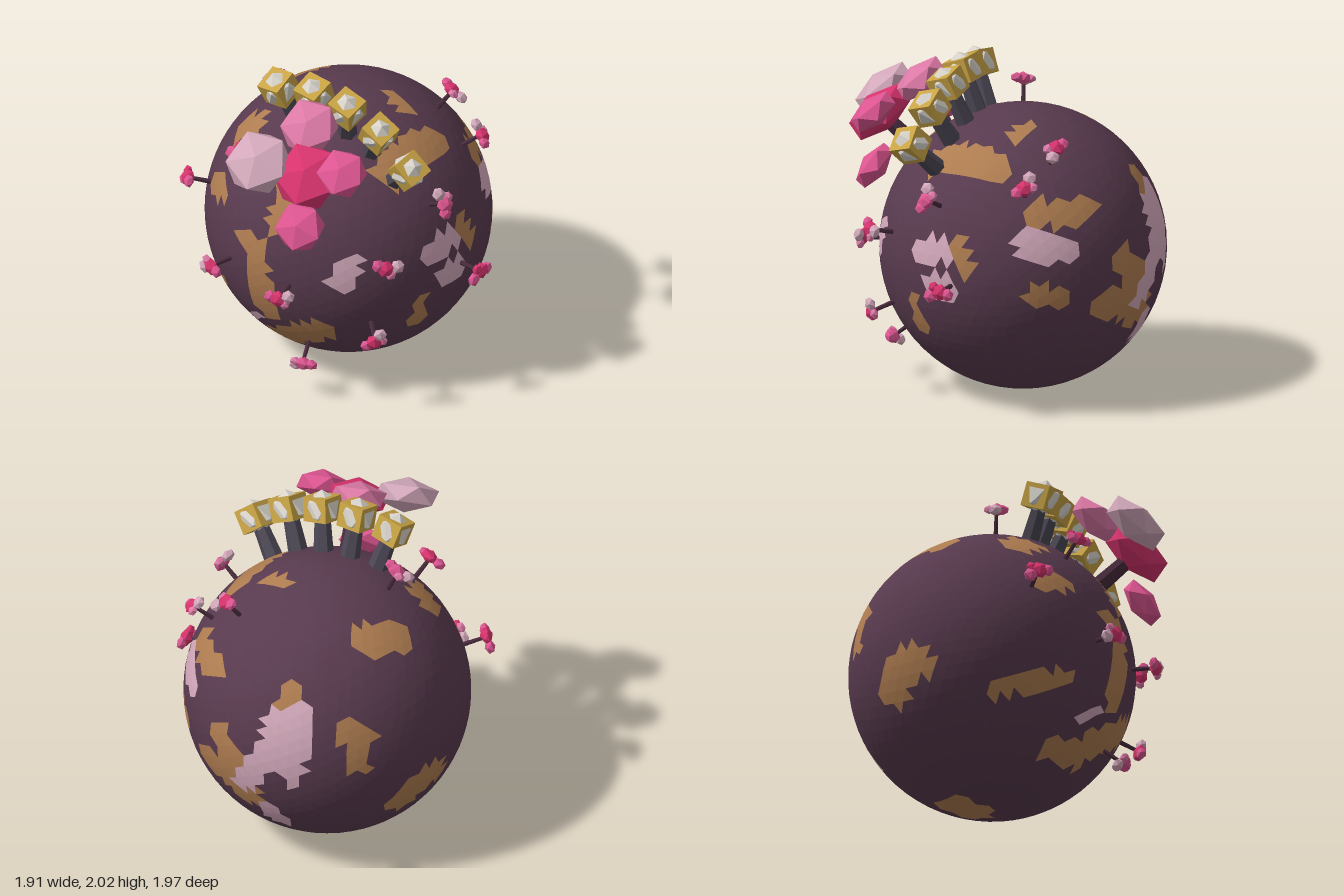
import * as THREE from 'three';

const mat = (name, color) => Object.assign(new THREE.MeshStandardMaterial({ color }), { name });
const M = {
  ground: mat('plum ground', 0x583a4e), ochre: mat('ochre', 0xae7c50), pale: mat('pale pink', 0xd2a8ba),
  gold: mat('gold', 0xc8a345), gem: mat('ivory gem', 0xd8d4cc), post: mat('slate post', 0x4a4653),
  stem: mat('dark stem', 0x472a3b), crimson: mat('crimson', 0xd6336c), rose: mat('rose', 0xdc5590),
  orchid: mat('orchid', 0xdc79a6),
};
const R = 0.865, CENTRE = new THREE.Vector3(-0.105, 0.872, -0.135);
const UP = new THREE.Vector3(0, 1, 0);

function add(parent, geometry, material, name) {
  const m = new THREE.Mesh(geometry, material);
  m.name = name;
  parent.add(m);
  return m;
}

// East, north and outward unit vectors of a place on the globe, in degrees
function compass(azimuth, elevation) {
  const [a, e] = [azimuth, elevation].map(THREE.MathUtils.degToRad);
  const out = new THREE.Vector3(Math.sin(a) * Math.cos(e), Math.sin(e), Math.cos(a) * Math.cos(e));
  const east = new THREE.Vector3(Math.cos(a), 0, -Math.sin(a));
  return { out, east, north: out.clone().cross(east) };
}

// Brush strokes from (u1, v1) to (u2, v2), in percent of the radius, laid on one side of the globe
const patches = [];
function paint(colour, azimuth, elevation, width, ...strokes) {
  const { out, east, north } = compass(azimuth, elevation);
  const near = new THREE.Vector3();
  for (const [u1, v1, u2, v2] of strokes) {
    const line = new THREE.Line3(new THREE.Vector3(u1, v1, 0), new THREE.Vector3(u2, v2, 0));
    const covers = (n) => {
      const p = new THREE.Vector3(n.dot(east), n.dot(north), 0).multiplyScalar(100);
      return n.dot(out) > 0 && line.closestPointToPoint(p, true, near).distanceTo(p) < width;
    };
    patches.push({ colour, covers });
  }
}

// front
paint('pale', 0, 0, 8, [63, 18, 60, 6]);
paint('pale', 0, 0, 5, [-18, -55, -7, -48]);
paint('ochre', 0, 0, 7, [-54, 68, -41, 75], [-60, 33, -45, 37], [-15, 20, 2, 18], [-72, -47, -46, -38], [-22, -76, 6, -74]);
paint('ochre', 0, 0, 10, [15, 70, 13, 42], [3, 2, 5, -36], [4, -66, 40, -43]);
// left side
paint('pale', 90, 0, 9, [-25, 16, -5, 20], [-13, -6, -1, -6], [54, 30, 71, 24]);
paint('ochre', 90, 0, 8, [7, 25, 13, 13], [54, 50, 75, 47], [61, -7, 69, -9]);
paint('ochre', 90, 0, 5, [-30, -18, -29, -42]);
// top
paint('pale', 0, 90, 7, [-34, 88, -18, 94]);
paint('ochre', 0, 90, 10, [-51, 26, -63, 5], [64, 17, 60, -30]);
paint('ochre', 0, 90, 6, [25, 18, 38, 18], [-74, 63, -67, 66]);
// back
paint('pale', 215, 24, 9, [-18, 6, -24, -40], [-42, -24, -57, -49]);
paint('ochre', 215, 24, 8, [-34, 2, -22, 19], [14, -8, 28, -9], [50, -66, 75, -46], [-80, -38, -52, -62]);
// underside
paint('pale', 145, -24, 7, [62, -12, 60, -30]);
paint('ochre', 145, -24, 9, [37, 46, 50, 33], [3, -82, 24, -81]);

// Faceted globe, its faces sorted by colour
function globe() {
  const group = new THREE.Group();
  group.name = 'globe';
  const pos = new THREE.IcosahedronGeometry(R, 12).attributes.position;
  const faces = { ground: [], ochre: [], pale: [] };
  for (let i = 0; i < pos.count; i += 3) {
    const c = [0, 1, 2].map((k) => new THREE.Vector3().fromBufferAttribute(pos, i + k));
    const mid = c[0].clone().add(c[1]).add(c[2]).normalize();
    const patch = patches.find((p) => p.covers(mid));
    c.forEach((p) => faces[patch ? patch.colour : 'ground'].push(p.x, p.y, p.z));
  }
  for (const key in faces) {
    const g = new THREE.BufferGeometry();
    g.setAttribute('position', new THREE.Float32BufferAttribute(faces[key], 3));
    g.computeVertexNormals();
    add(group, g, M[key], key === 'ground' ? 'globeGround' : key + 'Patches');
  }
  group.position.copy(CENTRE);
  return group;
}

// Icosahedron with a corner straight up
const crystal = new THREE.IcosahedronGeometry(1, 0).rotateZ(-Math.atan(2 / (1 + Math.sqrt(5))));

// Six-sided rod rising from inside the globe's surface
function rod(top, bottom, height) {
  const base = R - 0.03;
  const g = new THREE.CylinderGeometry(top, bottom, height - base, 6).translate(0, (height + base) / 2, 0).toNonIndexed();
  g.computeVertexNormals();
  return g;
}

// Group at the globe's centre whose y axis points along dir
function radial(parent, dir, name) {
  const g = new THREE.Group();
  g.name = name;
  g.position.copy(CENTRE);
  g.quaternion.setFromUnitVectors(UP, dir.clone().normalize());
  parent.add(g);
  return g;
}

function petal(parent, material, pos, radius, flat, normal, name) {
  const m = add(parent, crystal, material, name);
  m.position.copy(pos);
  m.scale.set(radius, radius * flat, radius);
  m.quaternion.setFromUnitVectors(UP, normal.clone().normalize());
}

// Gold lantern with a gem breaking through its sides
function addLantern(parent, x, z) {
  const h = 1.125, rel = new THREE.Vector3(x, 0, z).sub(CENTRE);
  rel.y = Math.sqrt(h * h - rel.x * rel.x - rel.z * rel.z);
  const lantern = radial(parent, rel, 'lantern');
  add(lantern, rod(0.045, 0.062, h), M.post, 'lanternPost');
  add(lantern, new THREE.BoxGeometry(0.165, 0.15, 0.165), M.gold, 'lanternBox').position.y = h;
  const gem = add(lantern, crystal, M.gem, 'lanternGem');
  gem.position.y = h;
  gem.scale.setScalar(0.113);
}

// Small flower at a place on the globe, its petals spread along the heading roll
function addFlower(parent, azimuth, elevation, roll, heart, end, low) {
  const { out, east, north } = compass(azimuth, elevation);
  const flower = new THREE.Group();
  flower.name = 'smallFlower';
  parent.add(flower);
  add(radial(flower, out, 'smallStem'), rod(0.012, 0.016, 1), M.stem, 'stem');
  const t = east.applyAxisAngle(out, THREE.MathUtils.degToRad(roll));
  const s = north.crossVectors(out, t);
  const bud = (material, a, b, radius, name) => {
    const pos = CENTRE.clone().addScaledVector(out, 1.01).addScaledVector(t, a).addScaledVector(s, b);
    petal(flower, material, pos, radius, 0.75, out, name);
  };
  bud(heart, -0.01, 0, 0.055, 'flowerHeart');
  bud(end, 0.065, 0.005, 0.045, 'flowerPetal');
  bud(M.rose, -0.055, 0.025, 0.042, 'flowerPetal');
  bud(low, 0.02, -0.04, 0.036, 'flowerPetal');
}

export function createModel() {
  const model = new THREE.Group();
  model.name = 'floweringGlobe';
  model.add(globe());

  // Arch of five lanterns
  for (let i = 0; i < 5; i++) addLantern(model, -0.28 + 0.232 * i, 0.19 + 0.11 * (1 - i / 4) ** 2);

  // Large blossom
  const bloom = new THREE.Group();
  bloom.name = 'largeBlossom';
  model.add(bloom);
  const heart = new THREE.Vector3(0.25, 1.67, 0.66);
  const stemLine = heart.clone().sub(CENTRE);
  add(radial(bloom, stemLine, 'largeStem'), rod(0.045, 0.055, stemLine.length()), M.stem, 'stem');
  const face = new THREE.Vector3(0.25, 0.77, 0.59), lowFace = new THREE.Vector3(0.25, 0.55, 0.75);
  petal(bloom, M.crimson, heart, 0.225, 0.55, face, 'blossomHeart');
  petal(bloom, M.pale, new THREE.Vector3(-0.02, 1.725, 0.8), 0.215, 0.5, face, 'petal');
  petal(bloom, M.orchid, new THREE.Vector3(0.1, 1.865, 0.47), 0.19, 0.5, face, 'petal');
  petal(bloom, M.rose, new THREE.Vector3(0.45, 1.735, 0.58), 0.165, 0.55, face, 'petal');
  petal(bloom, M.rose, new THREE.Vector3(0.23, 1.32, 0.71), 0.165, 0.5, lowFace, 'petal');

  // Small flowers: azimuth, elevation, roll
  const pinkTipped = [
    [81, 29, 100], [54, 12, 0], [50, -19, 60], [20, -38, 215], [16, -2, 22],
    [-15, -2, 202], [-58, 65, 255], [140, 51, 236], [123, 37, 60],
  ];
  pinkTipped.forEach((p, i) => addFlower(model, ...p, i % 3 ? M.crimson : M.rose, M.pale, M.orchid));
  const redTipped = [[92, -2, 200], [-45, 16, 215], [-19, 41, 200]];
  redTipped.forEach((p) => addFlower(model, ...p, M.crimson, M.rose, M.crimson));
  return model;
}
